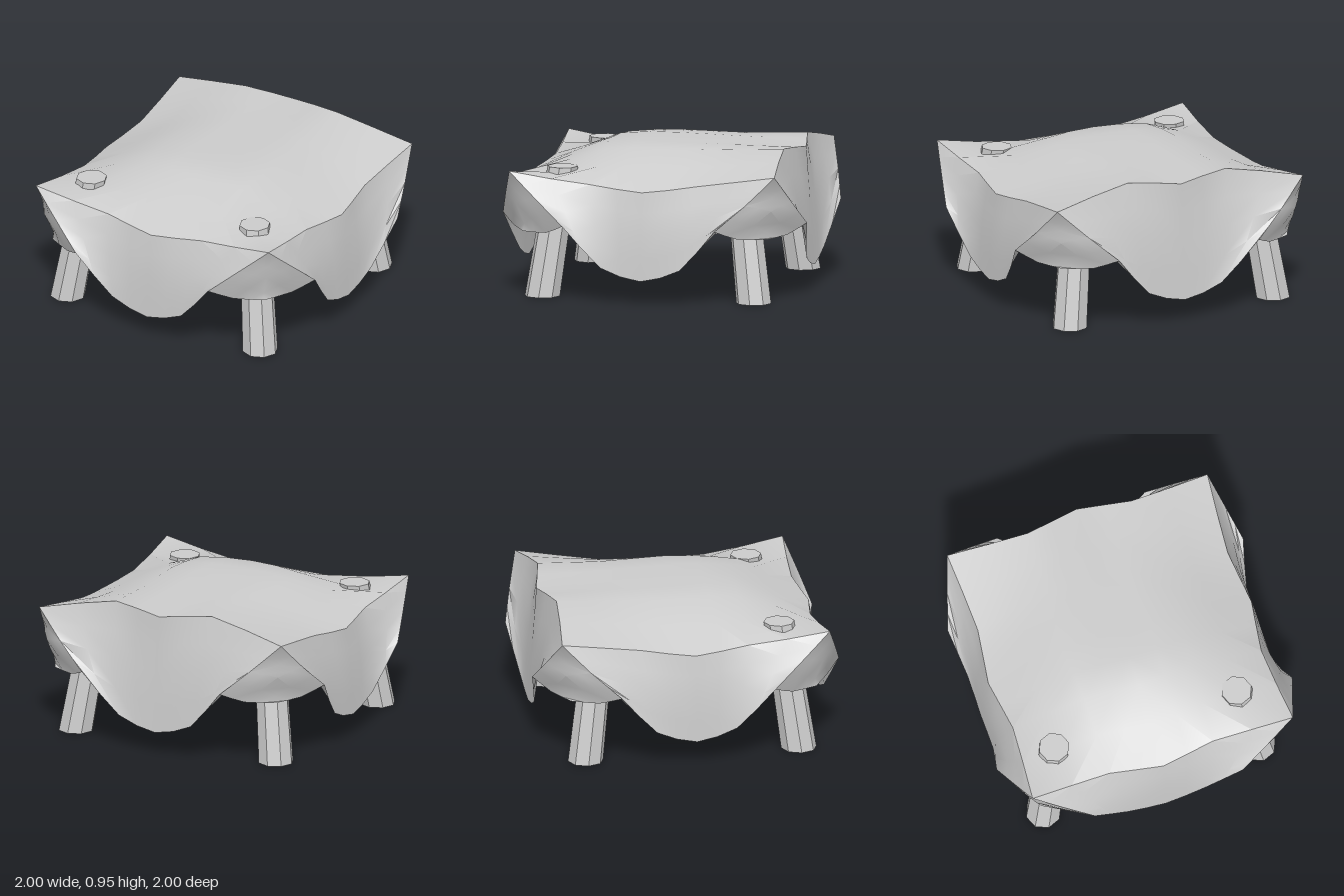
import * as THREE from 'three';
import { toCreasedNormals } from 'three/addons/utils/BufferGeometryUtils.js';

const material = new THREE.MeshStandardMaterial({ color: 0xcccccc, side: THREE.DoubleSide });

// Control points of one octant of the cloth, from the middle out:
// 0-1 flat top, 2 top edge, 3 middle of the skirt, 4 hem. Mirrored on the diagonal.
const octant = [
  [[0, 0.94, 0]],
  [[0.39, 0.932, 0], [0.36, 0.915, 0.36]],
  [[0.89, 0.72, 0], [0.84, 0.755, 0.35], [0.88, 0.83, 0.875]],
  [[0.925, 0.45, 0], [0.915, 0.5, 0.3], [0.94, 0.665, 0.69], [0.84, 0.62, 0.84]],
  [[0.94, 0.15, 0], [0.945, 0.23, 0.26], [1, 0.5, 0.5], [0.9, 0.44, 0.63], [0.8, 0.43, 0.8]],
];

// The back half is stretched higher, so the flat top runs on to its edge
const back = {
  '0,1': [0, 0.932, 0.4], '1,1': [0.36, 0.932, 0.4], '2,1': [0.845, 0.765, 0.35],
  '0,2': [0, 0.915, 0.885], '1,2': [0.35, 0.95, 0.815], '2,2': [0.88, 0.845, 0.87],
  '0,3': [0, 0.55, 0.91], '1,3': [0.32, 0.6, 0.905],
};

function controlPoint(i, j) {
  const a = Math.abs(i), b = Math.abs(j);
  let p = j < 0 ? back[`${a},${b}`] : undefined;
  if (!p) {
    const q = octant[Math.max(a, b)][Math.min(a, b)];
    p = a >= b ? q : [q[2], q[1], q[0]];
  }
  return new THREE.Vector3(p[0] * Math.sign(i), p[1], p[2] * Math.sign(j));
}

// Fairly tight cardinal spline through nine points, with a fold at both top edges
function spline(points, t) {
  const k = Math.min(Math.floor(t), 7), f = t - k;
  const start = points[k], end = points[k + 1];
  const slope = (m) => {
    const folded = m === 2 || m === 6;
    const from = folded ? start : points[Math.max(m - 1, 0)];
    const to = folded ? end : points[Math.min(m + 1, 8)];
    return to.clone().sub(from).multiplyScalar(folded ? 0.6 : 0.3);
  };
  const f2 = f * f, f3 = f2 * f;
  return start.clone().multiplyScalar(2 * f3 - 3 * f2 + 1)
    .addScaledVector(slope(k), f3 - 2 * f2 + f)
    .addScaledVector(end, 3 * f2 - 2 * f3)
    .addScaledVector(slope(k + 1), f3 - f2);
}

function createCloth() {
  const steps = 2, size = 8 * steps;
  const rows = [];
  for (let j = -4; j <= 4; j++) {
    const row = [];
    for (let i = -4; i <= 4; i++) row.push(controlPoint(i, j));
    rows.push(row);
  }
  const positions = [], index = [];
  for (let v = 0; v <= size; v++) {
    for (let u = 0; u <= size; u++) {
      const p = spline(rows.map((row) => spline(row, u / steps)), v / steps);
      // The cloth sinks a little around the front legs
      const d = Math.hypot(Math.abs(p.x) - 0.6, p.z - 0.59) / 0.2;
      if (p.y > 0.7) p.y -= 0.03 * Math.exp(-d * d);
      positions.push(p.x, p.y, p.z);
    }
  }
  for (let v = 0; v < size; v++) {
    for (let u = 0; u < size; u++) {
      const a = v * (size + 1) + u, b = a + size + 1;
      // Diagonals mirror about the middle line
      if (u < size / 2) index.push(a, b, a + 1, a + 1, b, b + 1);
      else index.push(a, b, b + 1, a, b + 1, a + 1);
    }
  }
  const geometry = new THREE.BufferGeometry();
  geometry.setAttribute('position', new THREE.Float32BufferAttribute(positions, 3));
  geometry.setIndex(index);
  const cloth = new THREE.Mesh(toCreasedNormals(geometry, 0.8), material);
  cloth.name = 'cloth';
  return cloth;
}

// Eight-sided leg leaning inward, with level ends
function createLeg(sx, sz) {
  const height = 0.83, lean = 0.11;
  const geometry = new THREE.CylinderGeometry(0.1, 0.115, height, 8);
  geometry.translate(0, height / 2, 0);
  const pos = geometry.attributes.position;
  for (let i = 0; i < pos.count; i++) {
    const t = pos.getY(i) / height;
    pos.setX(i, pos.getX(i) - sx * lean * t);
    pos.setZ(i, pos.getZ(i) - sz * lean * t);
  }
  const leg = new THREE.Mesh(toCreasedNormals(geometry, 0.3), material);
  leg.position.set(sx * 0.727 - 0.022, 0, sz * 0.695);
  leg.name = (sz > 0 ? 'front' : 'back') + (sx > 0 ? 'Left' : 'Right') + 'Leg';
  return leg;
}

export function createModel() {
  const model = new THREE.Group();
  model.name = 'clothShelter';
  model.add(createCloth());
  for (const sx of [-1, 1]) for (const sz of [-1, 1]) model.add(createLeg(sx, sz));
  return model;
}
